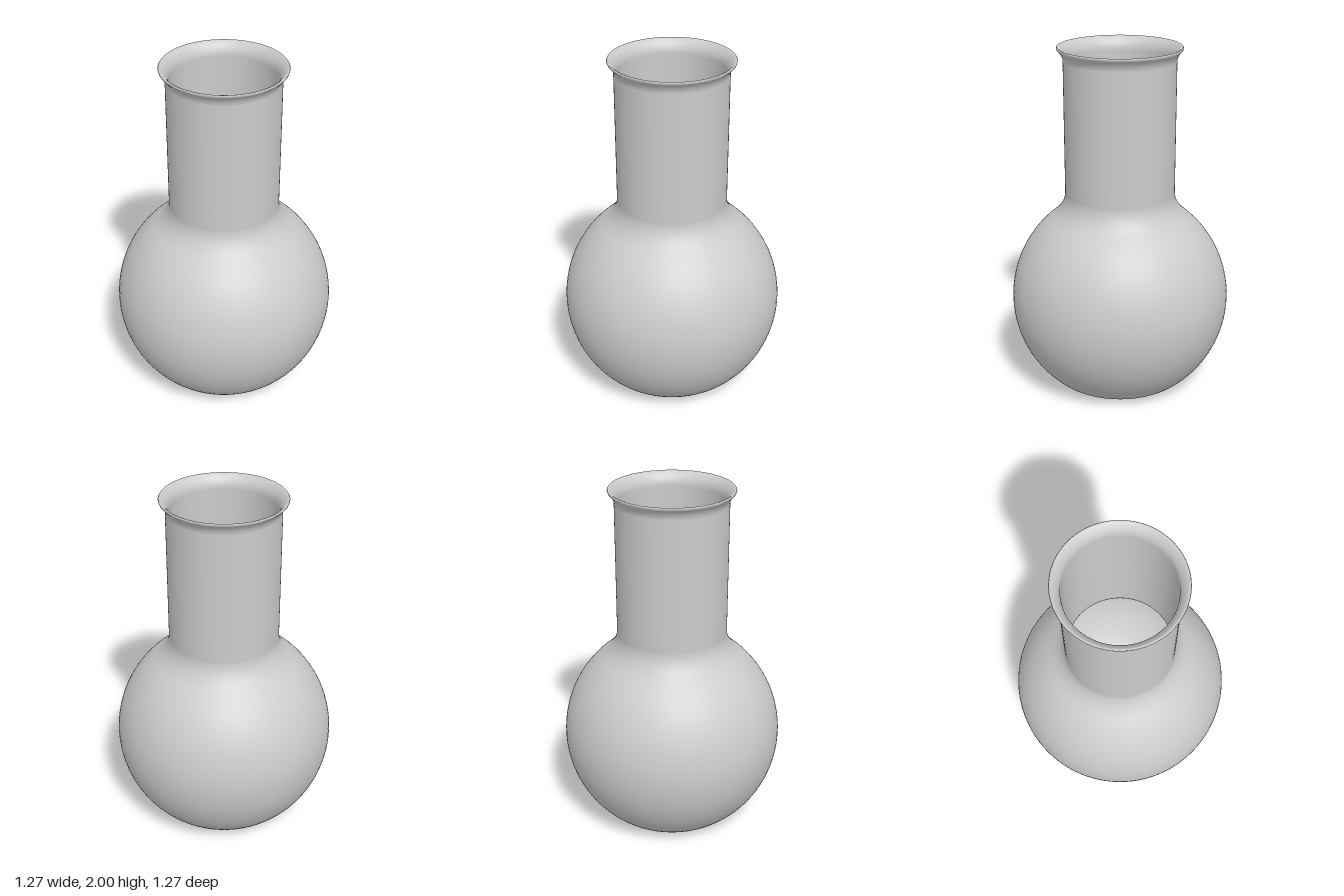
import * as THREE from 'three';

export function createModel() {
  const group = new THREE.Group();
  group.name = 'flask';

  const centreY = 0.52; // centre of the round bulb
  const outerR = 0.635;
  const innerR = 0.615;
  const a = 0.882; // half-angle of the bulb arc
  const at = (r, angle) => [r * Math.cos(angle), centreY + r * Math.sin(angle)];

  const profile = new THREE.Path();
  // Outside: flat base, bulb, neck, flared lip
  profile.moveTo(0, 0);
  profile.lineTo(0.31, 0);
  profile.quadraticCurveTo(0.367, 0, ...at(outerR, -a));
  profile.absarc(0, centreY, outerR, -a, a, false);
  profile.quadraticCurveTo(0.318, 1.08, 0.315, 1.16);
  profile.lineTo(0.315, 1.92);
  profile.quadraticCurveTo(0.315, 1.955, 0.347, 1.985);
  profile.lineTo(0.35, 1.994);
  profile.lineTo(0.346, 2);
  profile.lineTo(0.337, 1.996);
  // Inside: lip, neck, bulb, floor
  profile.quadraticCurveTo(0.297, 1.965, 0.297, 1.92);
  profile.lineTo(0.297, 1.16);
  profile.quadraticCurveTo(0.299, 1.07, ...at(innerR, a));
  profile.absarc(0, centreY, innerR, a, -a, true);
  profile.quadraticCurveTo(0.355, 0.02, 0.31, 0.02);
  profile.lineTo(0, 0.02);

  const glass = new THREE.Mesh(
    new THREE.LatheGeometry(profile.getPoints(16), 96),
    new THREE.MeshStandardMaterial({ color: 0xcccccc, side: THREE.DoubleSide })
  );
  glass.name = 'flaskBody';
  group.add(glass);
  return group;
}
